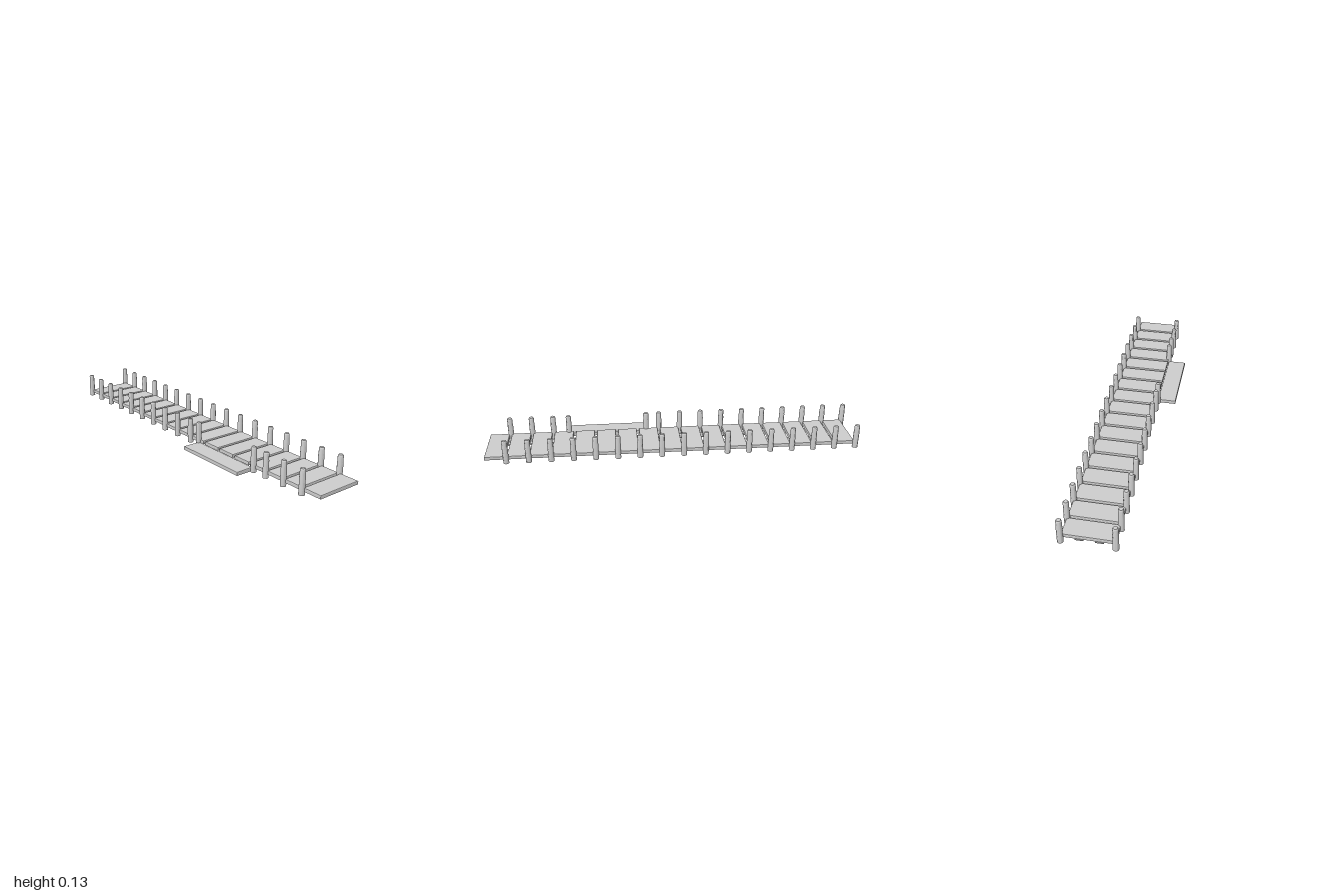
import * as THREE from 'three';
import { toCreasedNormals } from 'three/addons/utils/BufferGeometryUtils.js';

const material = new THREE.MeshStandardMaterial({ color: 0xcccccc });

// Board with a small chamfer round its top edge
function boardGeometry(width, height, depth) {
  const geometry = new THREE.BoxGeometry(width, height, depth, 1, 2, 1);
  const p = geometry.attributes.position;
  const c = 0.003;
  for (let i = 0; i < p.count; i++) {
    const y = p.getY(i);
    if (y > height * 0.25) {
      p.setX(i, p.getX(i) - Math.sign(p.getX(i)) * c * 0.5);
      p.setZ(i, p.getZ(i) - Math.sign(p.getZ(i)) * c * 0.5);
    } else if (y > -height * 0.25) {
      p.setY(i, height / 2 - c);
    }
  }
  return toCreasedNormals(geometry, 0.3);
}

export function createModel() {
  const model = new THREE.Group();
  const add = (parent, name, geometry, x, y, z) => {
    const mesh = new THREE.Mesh(geometry, material);
    mesh.name = name;
    mesh.position.set(x, y, z);
    parent.add(mesh);
  };
  const group = (name) => {
    const g = new THREE.Group();
    g.name = name;
    model.add(g);
    return g;
  };

  const rows = 17, pitch = 0.117, firstZ = 0.887;
  const leftX = 0.169, rightX = -0.084;
  const deckX = (leftX + rightX) / 2;

  // Deck planks, one in front of each row of posts
  const deck = group('deck');
  const plank = boardGeometry(0.252, 0.017, 0.104);
  for (let i = 0; i < rows; i++) {
    add(deck, 'plank', plank, deckX, 0.0285, firstZ - i * pitch + 0.06);
  }

  // Two flat stringers beneath the planks
  const stringers = group('stringers');
  const stringer = new THREE.BoxGeometry(0.04, 0.007, 1.97);
  for (const x of [-0.008, 0.085]) add(stringers, 'stringer', stringer, x, 0.0175, 0.005);

  // Round mooring posts with a slightly thicker base and chamfered top
  const profile = [[0, 0], [0.0152, 0], [0.0152, 0.088], [0.0142, 0.094],
    [0.0142, 0.126], [0.0105, 0.132], [0, 0.132]].map(([r, y]) => new THREE.Vector2(r, y));
  const post = toCreasedNormals(new THREE.LatheGeometry(profile, 12), 0.6);
  const posts = group('posts');
  for (let i = 0; i < rows; i++) {
    const z = firstZ - i * pitch;
    add(posts, 'leftPost', post, leftX, 0, z);
    // the right row is open where the boarding step sits
    if (i < 3 || i > 6) add(posts, 'rightPost', post, rightX, 0, z);
  }
  for (const z of [0.568, 0.14]) add(posts, 'stepPost', post, rightX, 0, z);

  // Low boarding step on the right side
  add(model, 'boardingStep', boardGeometry(0.1, 0.018, 0.42), -0.135, 0.012, 0.352);

  return model;
}
